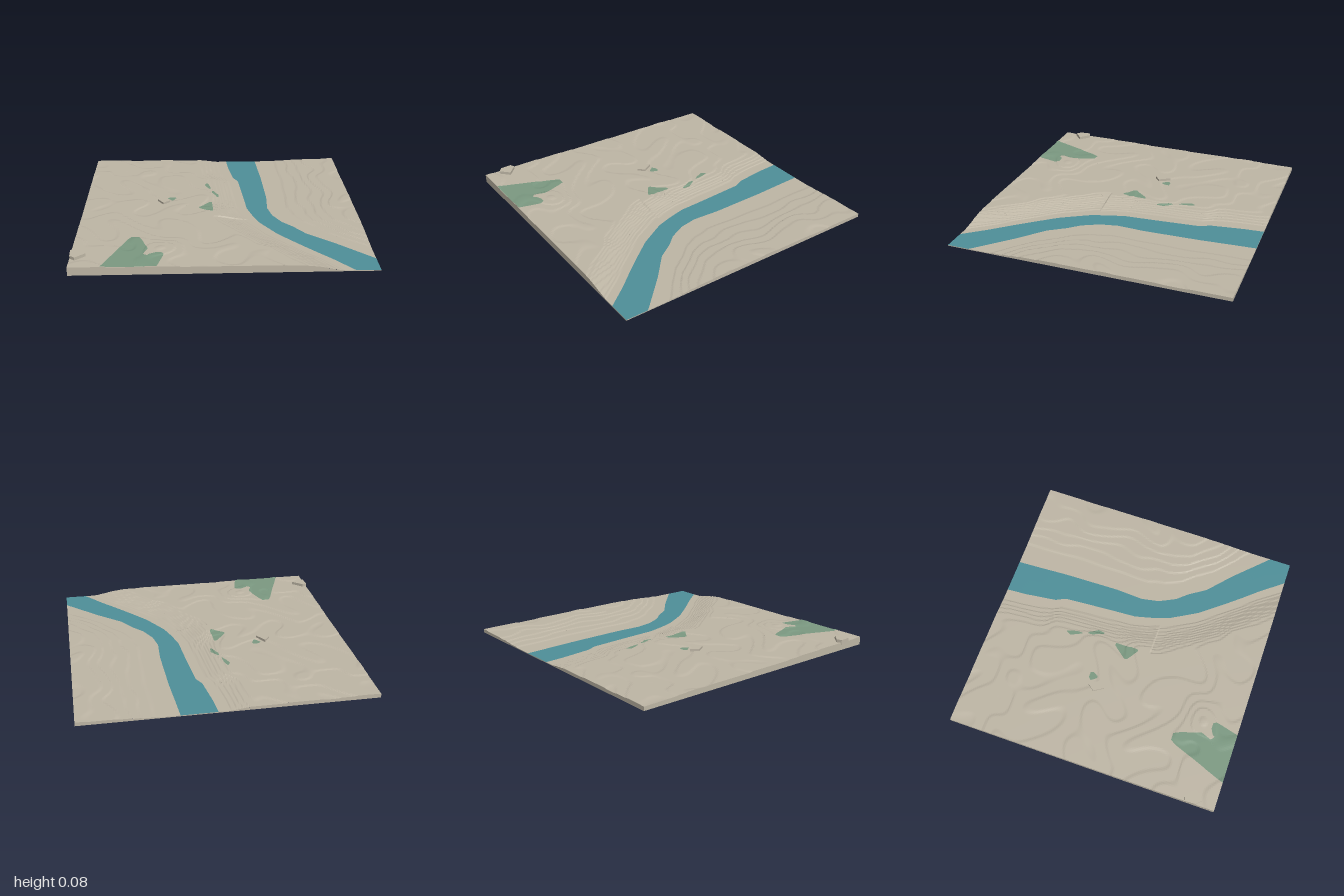
import * as THREE from 'three';

const mat = (name, color) => new THREE.MeshStandardMaterial({ name, color, side: THREE.DoubleSide });

// Banks as [z, leftX, rightX]
const RIVER = [
  [-1, 0.09, 0.335], [-0.85, 0.1, 0.342], [-0.62, 0.13, 0.355], [-0.55, 0.165, 0.357], [-0.2, 0.19, 0.365],
  [0, 0.202, 0.355], [0.13, 0.235, 0.38], [0.25, 0.275, 0.44], [0.33, 0.32, 0.51], [0.45, 0.39, 0.59],
  [0.6, 0.51, 0.76], [0.72, 0.61, 0.88], [0.84, 0.715, 1], [1, 0.84, 1],
];
// Woodland outlines in the same form
const WOODS = [
  [[-0.44, -0.09, -0.08], [-0.41, -0.105, -0.07], [-0.36, -0.085, -0.06], [-0.325, -0.065, -0.06]],
  [[-0.285, -0.05, -0.04], [-0.25, -0.05, -0.02], [-0.22, -0.035, 0], [-0.17, -0.015, -0.005]],
  [[-0.16, -0.37, -0.33], [-0.14, -0.39, -0.325], [-0.1, -0.36, -0.345]],
  [[-0.06, -0.075, -0.055], [0.04, -0.155, -0.055], [0.06, -0.15, -0.05], [0.115, -0.07, -0.055]],
  [[0.56, -0.62, -0.57], [0.6, -0.645, -0.55], [0.75, -0.7, -0.5], [0.83, -0.73, -0.53], [0.865, -0.745, -0.47], [1, -0.795, -0.44]],
  [[0.81, -0.45, -0.41], [0.83, -0.49, -0.395], [0.86, -0.51, -0.4], [1, -0.5, -0.435]],
];
const HOUSES = [
  { y: 0.052, base: 0.03, pts: [[-0.46, -0.09], [-0.42, -0.14], [-0.37, -0.06], [-0.415, -0.02], [-0.435, -0.05]] },
  { y: 0.075, base: 0.04, pts: [[-0.99, 0.78], [-0.955, 0.765], [-0.885, 0.83], [-0.95, 0.89], [-0.985, 0.86]] },
];

// Interpolate column k of a [z, left, right] table
function span(table, z, k) {
  let i = 0;
  while (i < table.length - 2 && z > table[i + 1][0]) i++;
  const [a, b] = [table[i], table[i + 1]];
  return THREE.MathUtils.lerp(a[k], b[k], THREE.MathUtils.clamp((z - a[0]) / (b[0] - a[0]), 0, 1));
}

// Stepped ground height on both sides of the river
const WATER = 0.006, STEP = 0.004;
function height(x, z) {
  const ss = THREE.MathUtils.smoothstep;
  const west = span(RIVER, z, 1) - x, east = x - span(RIVER, z, 2);
  const ripple = 0.0022 * Math.sin(6 * x + 3 * Math.sin(4 * z)) * Math.cos(7 * z + 2 * Math.sin(5 * x))
    + 0.0012 * Math.sin(17 * x + 2 * z + 2 * Math.sin(9 * z));
  let h = 0;
  if (west > 0) {
    const hill = 0.008 * Math.exp(-((x + 0.43) ** 2 + (z - 0.73) ** 2) / 0.025);
    const reach = z > 0.2 ? 0.36 : 0.28;
    h = (0.032 + 0.014 * z - 0.006 * x + ripple + hill) * ss(west, 0.02, reach);
  } else if (east > 0) {
    h = (0.021 + ripple) * ss(east, 0, 0.6);
  }
  const q = h / STEP, f = Math.floor(q);
  return WATER + STEP * (f + ss(q - f, 0.75, 1));
}

// Slight skew of the whole site
const place = (x, y, z) => [0.992 * x + 0.007 * z, y, 0.985 * z - 0.006 * x];

// Grid of nu by nv quads from a point function, with flat faces
function sheet(nu, nv, point) {
  const pos = [], index = [];
  for (let j = 0; j <= nv; j++) for (let i = 0; i <= nu; i++) {
    pos.push(...place(...point(i / nu, j / nv)));
    if (i < nu && j < nv) {
      const a = j * (nu + 1) + i, c = a + nu + 1;
      index.push(a, c, a + 1, a + 1, c, c + 1);
    }
  }
  const g = new THREE.BufferGeometry();
  g.setAttribute('position', new THREE.Float32BufferAttribute(pos, 3));
  g.setIndex(index);
  const flat = g.toNonIndexed();
  flat.computeVertexNormals();
  return flat;
}

// Ground-following sheet between two x limits
function drape(nu, nv, z0, z1, left, right, lift = 0) {
  return sheet(nu, nv, (u, v) => {
    const z = z0 + (z1 - z0) * v;
    const x = THREE.MathUtils.lerp(left(z), right(z), u);
    return [x, height(x, z) + lift, z];
  });
}

export function createModel() {
  const model = new THREE.Group();
  model.name = 'landscapeModel';
  const ground = mat('groundBeige', 0xbfb7a6);
  const water = mat('waterBlue', 0x4f909a);
  const green = mat('woodlandGreen', 0x7c9a82);
  const add = (name, geometry, material) => {
    const mesh = new THREE.Mesh(geometry, material);
    mesh.name = name;
    model.add(mesh);
    return mesh;
  };

  // Land and water surfaces
  const bankL = z => span(RIVER, z, 1), bankR = z => span(RIVER, z, 2);
  add('westLand', drape(120, 180, -1, 1, () => -1, bankL), ground);
  add('eastLand', drape(60, 180, -1, 1, bankR, () => 1), ground);
  add('river', sheet(2, 180, (u, v) => {
    const z = 2 * v - 1;
    return [THREE.MathUtils.lerp(bankL(z), bankR(z), u), WATER, z];
  }), water);

  // Woodland patches, on the ground and on its underside
  for (const rows of WOODS) for (const lift of [0.0025, -0.0025]) {
    add(lift > 0 ? 'woodland' : 'woodlandUnderside', drape(24, 40, rows[0][0], rows[rows.length - 1][0],
      z => span(rows, z, 1), z => span(rows, z, 2), lift), green);
  }

  // Outer walls and the ribs of the sixteen tiles beneath
  for (const p of [-1, -0.5, 0, 0.5, 1]) {
    const name = Math.abs(p) === 1 ? 'outerWall' : 'tileRib';
    add(name, sheet(180, 1, (u, v) => {
      const x = 2 * u - 1;
      return [x, height(x, p) * (1 - v), p];
    }), ground);
    add(name, sheet(180, 1, (u, v) => {
      const z = 1 - 2 * u;
      return [p, height(p, z) * (1 - v), z];
    }), ground);
  }

  // Flat-roofed houses
  for (const { y, base, pts } of HOUSES) {
    const shape = new THREE.Shape(pts.map(([x, z]) => new THREE.Vector2(x, -z)));
    const g = new THREE.ExtrudeGeometry(shape, { depth: y - base, bevelEnabled: false });
    g.rotateX(-Math.PI / 2);
    add('house', g, ground).position.y = base;
  }
  return model;
}
